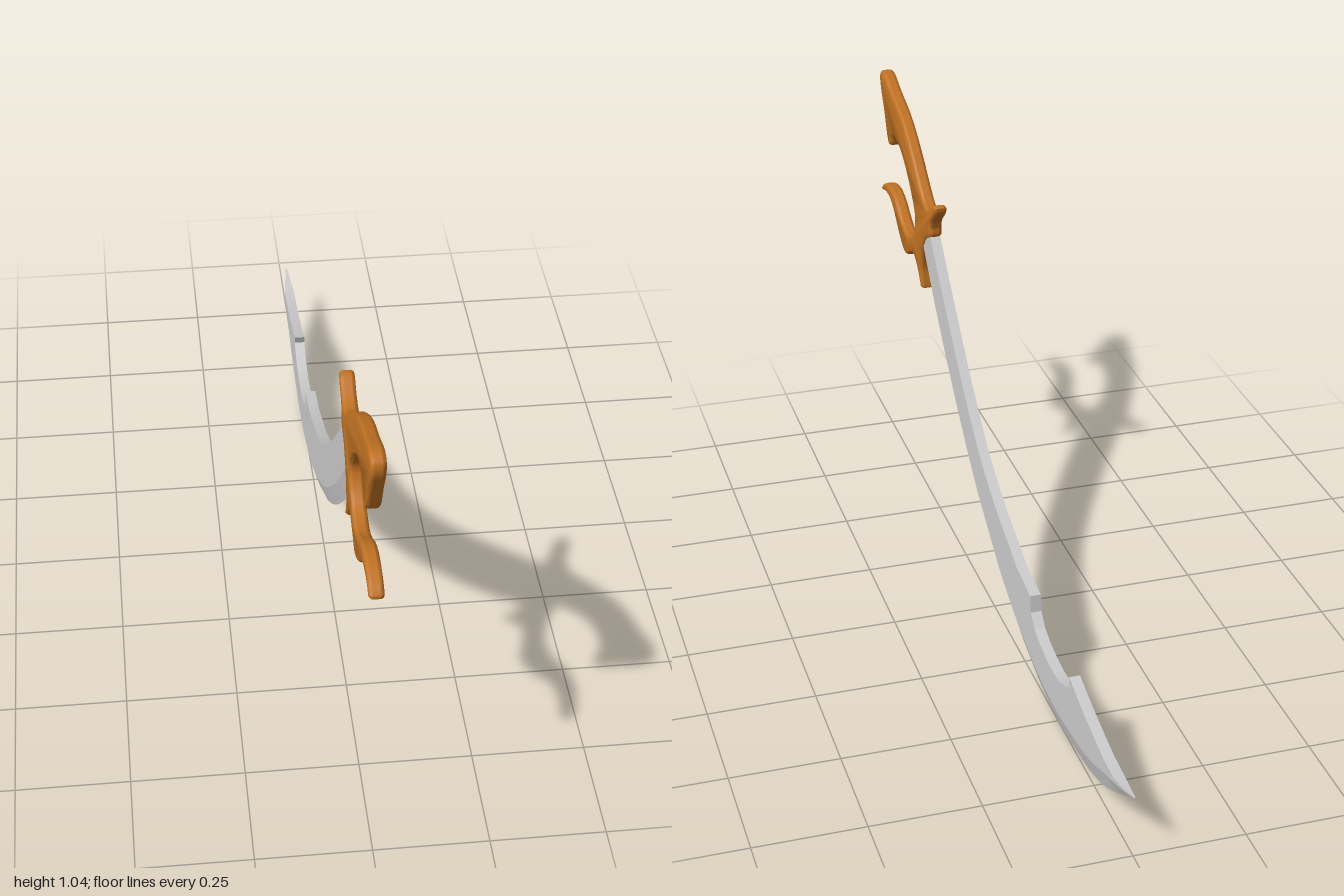
import * as THREE from 'three';
import { toCreasedNormals } from 'three/addons/utils/BufferGeometryUtils.js';

// Profiles are drawn in centi-units: [distance toward the tip (-z), height]
const S = 0.01;

// Blade stations from hilt to tip: [spine u, spine y, edge u, edge y]
const STATIONS = [
  [-54, 79, -62, 69], [-52, 77, -59.5, 66], [-43, 67.8, -50, 55.5], [-34, 59, -40, 45.8],
  [-25, 50.6, -30.5, 37.2], [-17, 43.8, -20, 28.8], [-9, 37.7, -10, 21.7], [-1, 33.2, 1, 15.6],
  [6, 29.9, 9, 11], [14, 27, 17, 7.5], [22, 24, 24, 4.9], [32.4, 22.5, 34, 2.2],
  [33, 18.5, 34.6, 2], [36, 15.8, 38, 1.3], [40, 14.3, 42, 0.7], [45, 13.4, 46, 0.3],
  [50, 13, 51, 0], [54, 13.4, 55, 0.1], [59, 15.2, 59, 0.4], [61.5, 16.9, 61.5, 0.7],
  [60.8, 19, 62, 0.8], [66, 17.4, 67, 1.2], [72, 15.9, 72, 1.9], [78, 14.6, 78, 3.4],
  [84, 13.5, 84, 5.6], [90, 13.1, 89, 8.2], [95, 13.7, 94, 11.1], [100, 14.7, 100, 14.6],
];

function bladeGeometry() {
  // Five-cornered section: flat spine, parallel faces, bevel to a sharp edge
  const rings = STATIONS.map(([su, sy, eu, ey]) => {
    const len = Math.hypot(su - eu, sy - ey);
    const t = Math.min(4.5, len * 0.75) / len;
    const w = 1.25 * Math.min(1, 0.12 + len / 5.5);
    const ru = eu + (su - eu) * t, ry = ey + (sy - ey) * t;
    return [[w, sy, -su], [w, ry, -ru], [0, ey, -eu], [-w, ry, -ru], [-w, sy, -su]];
  });
  const pos = [];
  const tri = (...corners) => corners.forEach(p => pos.push(p[0] * S, p[1] * S, p[2] * S));
  for (let i = 0; i < rings.length - 1; i++) {
    for (let j = 0; j < 5; j++) {
      const k = (j + 1) % 5;
      tri(rings[i][j], rings[i][k], rings[i + 1][k]);
      tri(rings[i][j], rings[i + 1][k], rings[i + 1][j]);
    }
  }
  // Caps at the tang and tip
  const a = rings[0], b = rings[rings.length - 1];
  for (let j = 1; j < 4; j++) {
    tri(a[0], a[j + 1], a[j]);
    tri(b[0], b[j], b[j + 1]);
  }
  const g = new THREE.BufferGeometry();
  g.setAttribute('position', new THREE.Float32BufferAttribute(pos, 3));
  return toCreasedNormals(g, 0.25);
}

// Hilt outline, clockwise from the pommel
const HILT = [
  [-98.4, 103.2], [-95.5, 104], [-88, 101.3], [-78.5, 98.2], [-68, 91.8], [-60, 85.6],
  [-55, 82.6], [-51, 83.6], [-47.5, 86], [-45.6, 85.8], [-46.3, 83.8], [-49.5, 81], // upper quillon
  [-50.6, 79], [-50.6, 76.6], [-55, 74], [-58.3, 70], [-59.8, 66], // collar
  [-60.2, 63.2], [-59.4, 58.8], [-60.4, 59], [-64, 63], [-67.5, 64.8], [-71.5, 63.4], // lower spike
  [-75.5, 61.5], [-79.5, 62.8], [-84, 66.2], [-89, 70], [-94.5, 71], [-99.6, 70.2], // knuckle fork
  [-99.5, 71.2], [-95.5, 73.3], [-90, 74], [-85, 72.6], [-80, 69.6], [-75.5, 67.9],
  [-70.5, 68.6], [-66.8, 71.5], [-65.2, 75.8], [-67.8, 80], [-72, 84.2], [-78.5, 88.5],
  [-84, 89.9], [-88, 89], [-88.8, 86.6], [-91.2, 86], [-95.5, 94], [-98.9, 100.5], // grip underside
];

function hiltGeometry() {
  const curve = new THREE.CatmullRomCurve3(
    HILT.map(([u, y]) => new THREE.Vector3(u * S, y * S, 0)), true, 'centripetal');
  const pts = curve.getPoints(HILT.length * 3).slice(0, -1);
  const shape = new THREE.Shape(pts.map(p => new THREE.Vector2(p.x, p.y)));
  const g = new THREE.ExtrudeGeometry(shape, {
    depth: 0.014, steps: 1, bevelEnabled: true, bevelThickness: 0.009,
    bevelSize: 0.008, bevelOffset: -0.008, bevelSegments: 4,
  });
  g.translate(0, 0, -0.007);
  g.rotateY(Math.PI / 2); // profile runs along -z, thickness along x
  return toCreasedNormals(g, 0.8);
}

export function createModel() {
  const group = new THREE.Group();
  group.name = 'curvedSword';
  const add = (name, geometry, color) => {
    const mesh = new THREE.Mesh(geometry, new THREE.MeshStandardMaterial({ color }));
    mesh.name = name;
    group.add(mesh);
  };
  add('blade', bladeGeometry(), 0xcccccc);
  add('hilt', hiltGeometry(), 0xc07222);
  return group;
}
